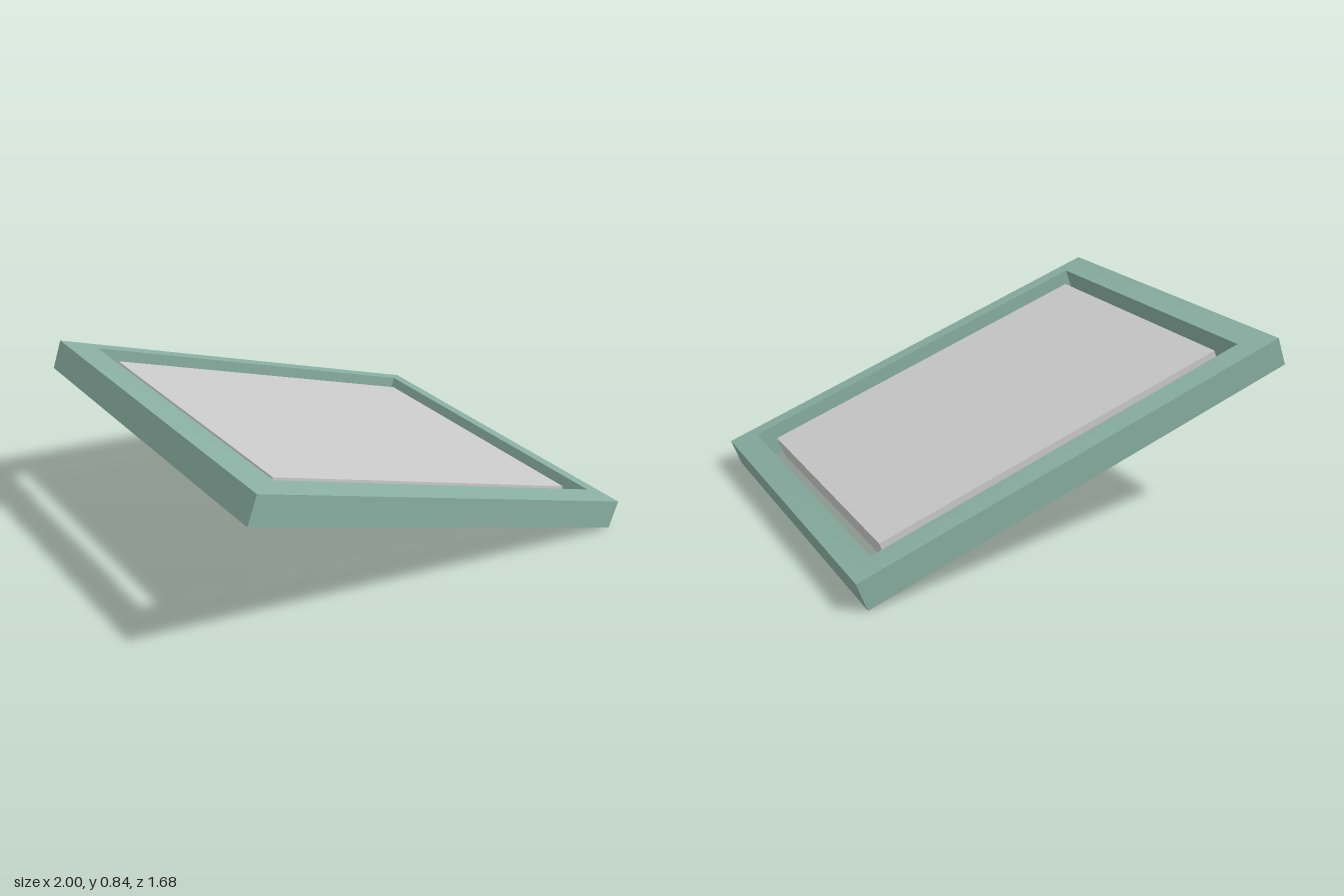
import * as THREE from 'three';
import { toCreasedNormals } from 'three/addons/utils/BufferGeometryUtils.js';

const TILT = THREE.MathUtils.degToRad(20);

// Rectangular loop of four corners, counter-clockwise seen from above
const ring = (x0, x1, z, y) => [[x1, y, z], [x1, y, -z], [x0, y, -z], [x0, y, z]];

// Closed frame swept through a loop of rectangular rings
function frameGeometry(rings) {
  const pos = [];
  rings.forEach((a, r) => {
    const b = rings[(r + 1) % rings.length];
    for (let i = 0; i < 4; i++) {
      const j = (i + 1) % 4;
      pos.push(...a[i], ...a[j], ...b[j], ...a[i], ...b[j], ...b[i]);
    }
  });
  const geo = new THREE.BufferGeometry();
  geo.setAttribute('position', new THREE.Float32BufferAttribute(pos, 3));
  return toCreasedNormals(geo, 0.3);
}

export function createModel() {
  const model = new THREE.Group();
  model.name = 'tiltedFramedPanel';

  // Both parts share the tilt, sloping down towards +x
  const tilted = new THREE.Group();
  tilted.name = 'tiltedAssembly';
  tilted.rotation.z = -TILT;
  tilted.position.y = 0.419;
  model.add(tilted);

  // Mitred frame: its top face rises gently towards the opening
  const frame = new THREE.Mesh(
    frameGeometry([
      ring(-1.04, 1.04, 0.838, -0.0665),
      ring(-1.04, 1.04, 0.838, 0.0665),
      ring(-0.9, 0.925, 0.735, 0.079),
      ring(-0.9, 0.925, 0.735, -0.0665),
    ]),
    new THREE.MeshStandardMaterial({ color: 0x8ab0a3 })
  );
  frame.name = 'frame';
  tilted.add(frame);

  // Loose panel with a gap all round
  const panel = new THREE.Mesh(
    new THREE.BoxGeometry(1.692, 0.1, 1.294),
    new THREE.MeshStandardMaterial({ color: 0xcccccc })
  );
  panel.name = 'panel';
  panel.position.set(0.012, 0.004, 0);
  tilted.add(panel);

  return model;
}
